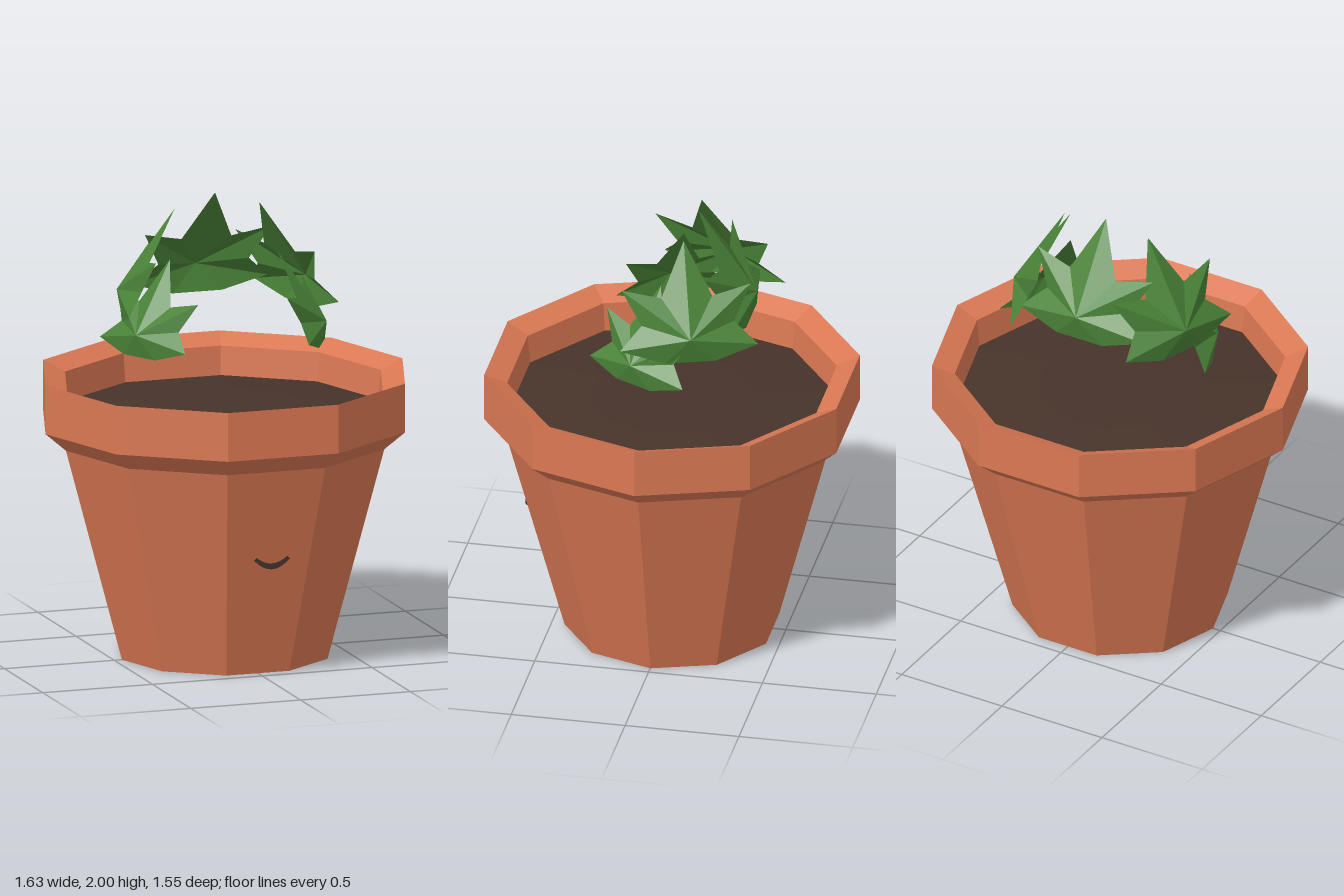
import * as THREE from 'three';

const mat = (name, color, side = THREE.FrontSide) => {
  const m = new THREE.MeshStandardMaterial({ color, flatShading: true, side });
  m.name = name;
  return m;
};

// Ten-sided turned part with a corner on the x axis
function turned(name, profile, material) {
  const points = profile.map(([r, y]) => new THREE.Vector2(r, y));
  const mesh = new THREE.Mesh(new THREE.LatheGeometry(points, 10, Math.PI / 2), material);
  mesh.name = name;
  return mesh;
}

// Cupped, seven-pointed leaf: a fan around its raised middle, facing +z
function leafGeometry() {
  const half = [
    [0.11, 0.14, -0.14], // upper notch
    [0.28, 0.175, -0.165], // side point
    [0.2, 0.03, -0.105], // lower notch
    [0.3, -0.06, -0.05], // low point
    [0.11, -0.117, -0.025], // base corner
  ];
  const rim = [
    [0, 0.355, -0.25],
    ...half.map(([x, y, z]) => [-x, y, z]),
    ...half.slice().reverse(),
  ];
  const positions = [];
  rim.forEach((p, i) => positions.push(0, 0, 0, ...p, ...rim[(i + 1) % rim.length]));
  const geometry = new THREE.BufferGeometry();
  geometry.setAttribute('position', new THREE.Float32BufferAttribute(positions, 3));
  geometry.computeVertexNormals();
  return geometry;
}

export function createModel() {
  const model = new THREE.Group();
  model.name = 'pottedPlant';

  const terracotta = mat('terracotta', 0xda7853);
  const soilBrown = mat('soilBrown', 0x47342b);
  const leafGreen = mat('leafGreen', 0x498237, THREE.DoubleSide);
  const smileBrown = mat('smileBrown', 0x45322c, THREE.DoubleSide);

  // Pot with collar, inward-sloping rim and inner wall
  model.add(turned('pot', [
    [0, 0], [0.465, 0], [0.72, 0.94], [0.813, 1.02],
    [0.813, 1.235], [0.714, 1.19], [0.7, 1.04],
  ], terracotta));

  // Slightly mounded soil
  model.add(turned('soil', [[0.703, 1.063], [0.36, 1.09], [0, 1.097]], soilBrown));

  // Flat crescent smile standing just ahead of the front face
  const crescent = new THREE.Shape();
  crescent.moveTo(-0.082, 0.02);
  crescent.quadraticCurveTo(0, -0.068, 0.082, 0.02);
  crescent.lineTo(0.07, 0.031);
  crescent.quadraticCurveTo(0, -0.026, -0.07, 0.031);
  crescent.closePath();
  const smile = new THREE.Mesh(new THREE.ShapeGeometry(crescent, 8), smileBrown);
  smile.name = 'smile';
  smile.position.set(0, 0.521, 0.628);
  model.add(smile);

  // Wreath of leaves: one at the back, two mirrored pairs
  const leaf = leafGeometry();
  const wreath = new THREE.Group();
  wreath.name = 'leafWreath';
  const addLeaf = (name, x, y, z, degrees, scale) => {
    const mesh = new THREE.Mesh(leaf, leafGreen);
    mesh.name = name;
    mesh.position.set(x, y, z);
    mesh.rotation.y = THREE.MathUtils.degToRad(degrees);
    mesh.scale.setScalar(scale);
    wreath.add(mesh);
  };
  addLeaf('backLeaf', 0, 1.635, -0.375, 180, 1.03);
  for (const [side, s] of [['left', 1], ['right', -1]]) {
    addLeaf(side + 'UpperLeaf', s * 0.43, 1.595, -0.17, s * 108.4, 1);
    addLeaf(side + 'LowerLeaf', s * 0.435, 1.447, 0.095, s * 63, 0.85);
  }
  model.add(wreath);

  return model;
}
